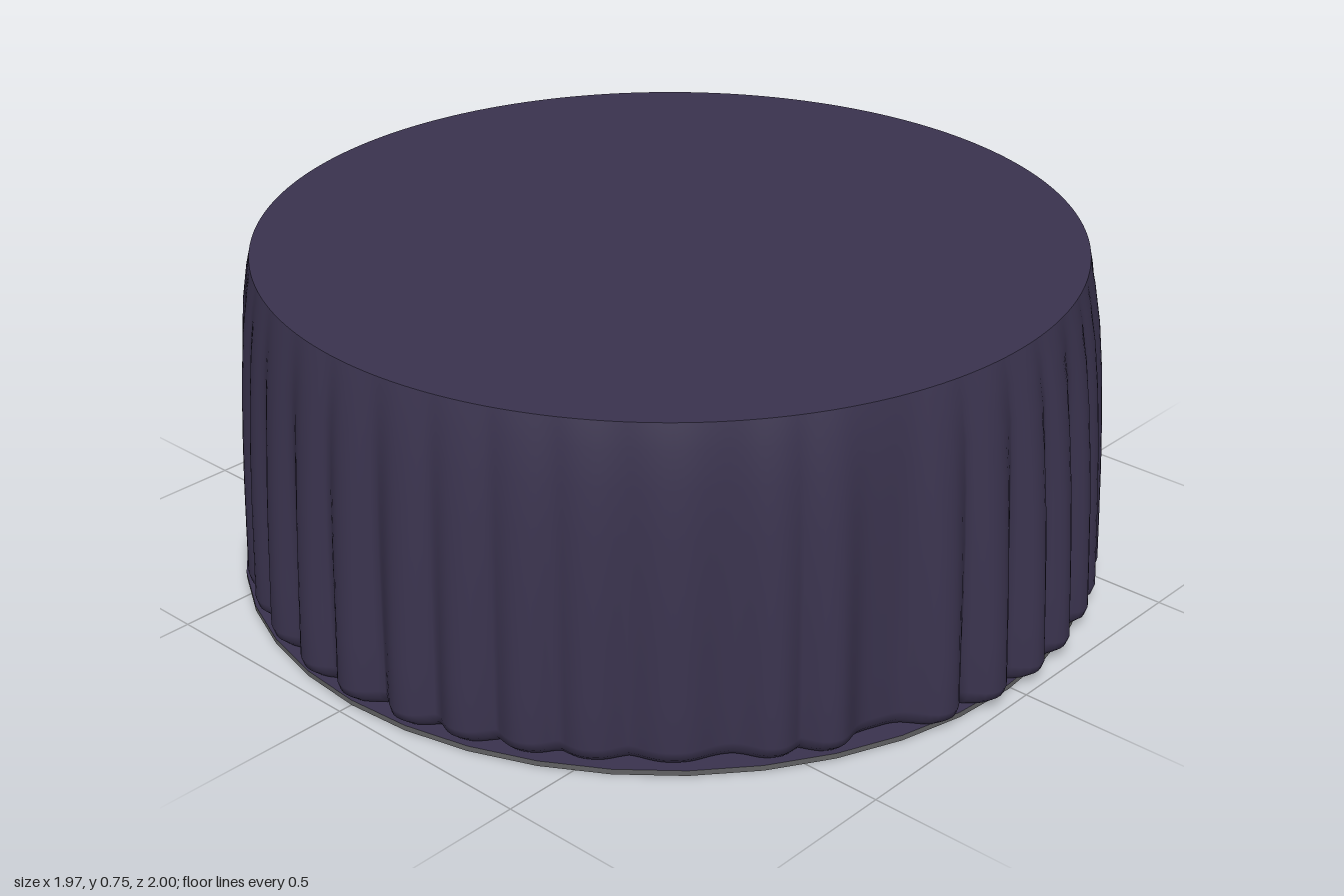
import * as THREE from 'three';

// Fold positions round the skirt, in degrees from +x towards +z
const FOLDS = [0, 8, 16, 21, 27, 32, 36, 47, 59, 66, 72, 80, 87, 95, 103, 118, 125, 137, 147, 155,
  163, 171, 180, 188, 197, 205, 212, 226, 246, 253, 259, 265, 274, 278, 287, 298, 313, 326, 334, 340, 349];

// Skirt profile from top to hem: radius between folds, height, fold strength
const PROFILE = [
  [0.907, 0.75, 0], [0.916, 0.7, 0.12], [0.924, 0.62, 0.3], [0.928, 0.52, 0.48], [0.931, 0.4, 0.64],
  [0.932, 0.28, 0.78], [0.932, 0.16, 0.9], [0.932, 0.05, 1], [0.928, 0.03, 0.95], [0.915, 0.015, 0.85],
];

// Outward bulge of the cloth at an angle in degrees
function bulge(deg) {
  let best = 0;
  FOLDS.forEach((f, i) => {
    const n = FOLDS.length;
    const before = (f - FOLDS[(i + n - 1) % n] + 360) % 360;
    const after = (FOLDS[(i + 1) % n] - f + 360) % 360;
    const width = Math.min(3.2, 0.3 * Math.min(before, after) + 0.3);
    const d = ((deg - f + 540) % 360) - 180;
    best = Math.max(best, Math.exp(-0.5 * Math.abs(d / width) ** 2.6));
  });
  const a = THREE.MathUtils.degToRad(deg);
  return best * (0.023 + 0.03 * Math.cos(2 * a) ** 2 + 0.015 * Math.sin(a) ** 2);
}

// Pleated cloth: rings of points following the profile
function skirtGeometry() {
  const segs = 480, pos = [], index = [];
  PROFILE.forEach(([r, y, k]) => {
    for (let i = 0; i < segs; i++) {
      const deg = (i * 360) / segs, a = THREE.MathUtils.degToRad(deg);
      const R = r + k * bulge(deg);
      pos.push(R * Math.cos(a), y, R * Math.sin(a));
    }
  });
  for (let j = 0; j < PROFILE.length - 1; j++) {
    for (let i = 0; i < segs; i++) {
      const n = (i + 1) % segs;
      const a = j * segs + i, b = j * segs + n, c = a + segs, d = b + segs;
      index.push(a, b, c, b, d, c);
    }
  }
  const g = new THREE.BufferGeometry();
  g.setAttribute('position', new THREE.Float32BufferAttribute(pos, 3));
  g.setIndex(index);
  g.computeVertexNormals();
  return g;
}

export function createModel() {
  const group = new THREE.Group();
  group.name = 'drapedRoundTable';
  const cloth = new THREE.MeshStandardMaterial({ color: 0x3a334e, side: THREE.DoubleSide });
  cloth.name = 'purple cloth';
  const under = new THREE.MeshStandardMaterial({ color: 0x616163 });
  under.name = 'grey base';

  const add = (name, geometry, material, y = 0) => {
    const m = new THREE.Mesh(geometry, material);
    m.name = name;
    m.position.y = y;
    group.add(m);
    return m;
  };

  add('pleatedSkirt', skirtGeometry(), cloth);
  add('topCloth', new THREE.CircleGeometry(0.907, 480).rotateX(-Math.PI / 2), cloth, 0.75);

  // Thin base: cloth on top, grey edge and underside
  const base = add('base', new THREE.CylinderGeometry(0.96, 0.96, 0.012, 40), [under, cloth, under], 0.006);
  base.position.x = -0.008;
  return group;
}
